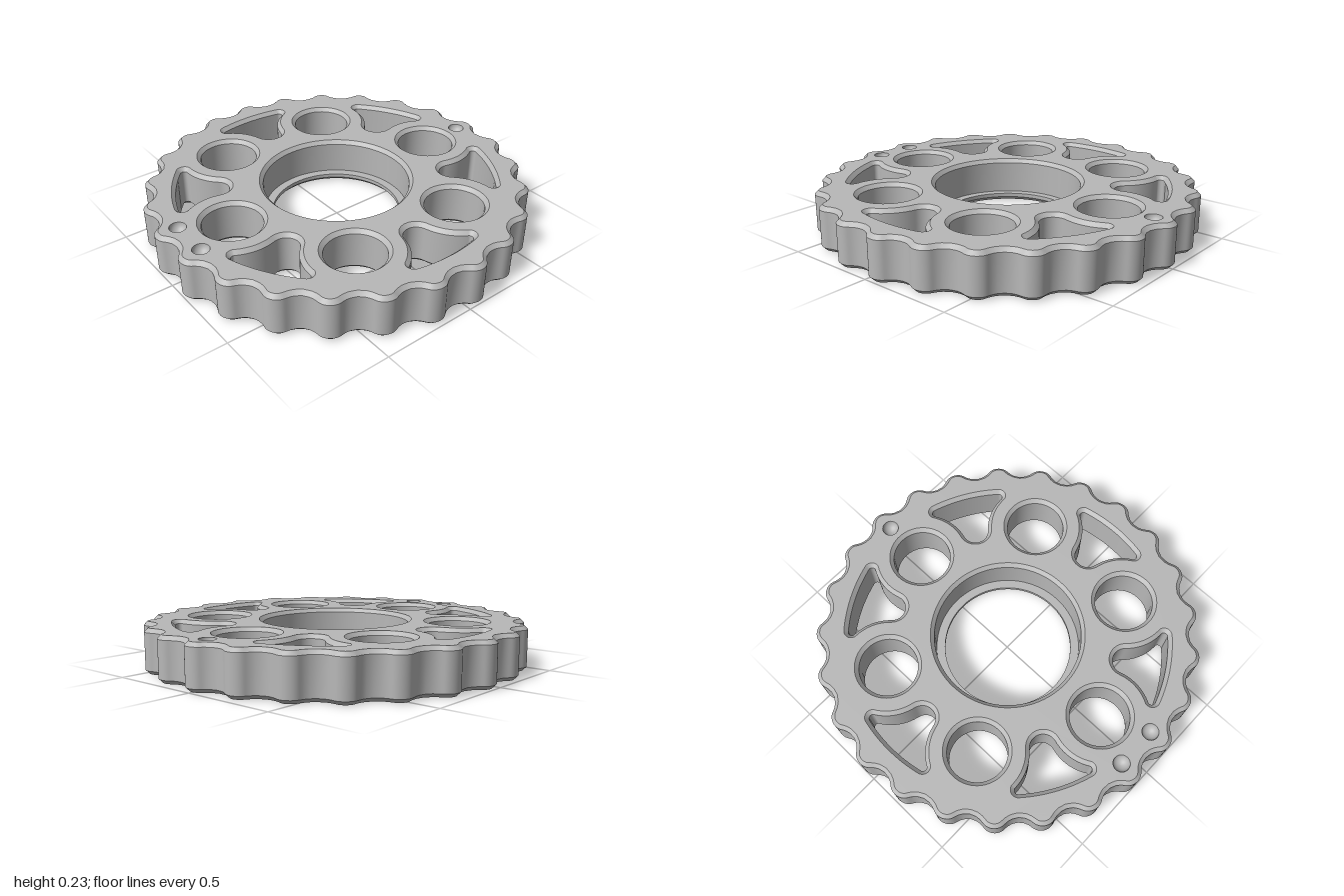
import * as THREE from 'three';
import { mergeGeometries } from 'three/addons/utils/BufferGeometryUtils.js';

// The disc is drawn in the xy plane with z as height, then laid flat.
const H = 0.23, C = 0.02, LOBES = 25;
const TAU = Math.PI * 2;
const V = (x, y) => new THREE.Vector2(x, y);

// Counter-clockwise arc or full circle
function arc(cx, cy, r, a0, a1, n, closed = false) {
  const pts = [];
  for (let i = 0; i < (closed ? n : n + 1); i++) {
    const a = a0 + (a1 - a0) * i / n;
    pts.push(V(cx + r * Math.cos(a), cy + r * Math.sin(a)));
  }
  return pts;
}
const circle = (cx, cy, r, n = 64) => arc(cx, cy, r, 0, TAU, n, true);

// Cycloidal outline: a trochoid offset inward by the roller radius plus the inset
function rimLoop(inset) {
  const e = 0.027, N = LOBES + 1, roller = 0.085, R = 1.002 - e + roller, pts = [];
  const count = LOBES * 32;
  for (let i = 0; i < count; i++) {
    const t = TAU * i / count;
    const tx = -R * Math.sin(t) + e * N * Math.sin(N * t);
    const ty = R * Math.cos(t) - e * N * Math.cos(N * t);
    const k = (roller + inset) / Math.hypot(tx, ty);
    const x = R * Math.cos(t) - e * Math.cos(N * t) - ty * k;
    const y = R * Math.sin(t) - e * Math.sin(N * t) + tx * k;
    pts.push(V(-x, -y));
  }
  return pts;
}

// Window between two round holes, from tangent arcs; symmetric about +y
const PIN_R = 0.642;
function windowLoop(inset, turn) {
  const hx = PIN_R * 0.5, hy = PIN_R * Math.cos(Math.PI / 6);
  const cornerX = 0.18, cornerY = 0.797, footY = 0.629;
  const side = 0.24 + inset, corner = 0.04 - inset, foot = 0.089 - inset;
  const outer = Math.hypot(cornerX, cornerY) + corner;
  const outerA = Math.atan2(cornerY, cornerX);
  const toCorner = Math.atan2(cornerY - hy, cornerX - hx);
  const toFoot = Math.atan2(footY - hy, -hx) + (footY < hy ? TAU : 0);
  // right half, from the foot up to the outer arc
  const half = [
    ...arc(0, footY, foot, -Math.PI / 2, toFoot - Math.PI, 12),
    ...arc(hx, hy, side, toFoot, toCorner, 16).slice(1),
    ...arc(cornerX, cornerY, corner, toCorner - Math.PI, outerA, 12).slice(1),
    ...arc(0, 0, outer, outerA, Math.PI / 2, 10).slice(1),
  ];
  const mirrored = half.slice(1, -1).reverse().map(p => V(-p.x, p.y));
  return [...half, ...mirrored].map(p => p.rotateAround(V(0, 0), turn));
}

// Smooth strip through levels [loop, height]
function strip(levels) {
  const n = levels[0][0].length, pos = [], idx = [];
  for (const [loop, z] of levels) for (const p of loop) pos.push(p.x, p.y, z);
  for (let l = 0; l < levels.length - 1; l++) {
    for (let i = 0; i < n; i++) {
      const a = l * n + i, b = l * n + (i + 1) % n;
      idx.push(a, b, b + n, a, b + n, a + n);
    }
  }
  const g = new THREE.BufferGeometry();
  g.setAttribute('position', new THREE.Float32BufferAttribute(pos, 3));
  g.setIndex(idx);
  g.computeVertexNormals();
  return g;
}

// Separate strips, so each level keeps a sharp edge
const sharp = levels => mergeGeometries(levels.slice(1).map((l, i) => strip([levels[i], l])));

// Chamfered through hole, from the top down
const throughHole = loopAt => sharp([[loopAt(0), H], [loopAt(C), H - C], [loopAt(C), C], [loopAt(0), 0]]);

export function createModel() {
  const group = new THREE.Group();
  const metal = new THREE.MeshStandardMaterial({ color: 0xb8b8b8 });
  metal.name = 'grey metal';
  const add = (name, g) => {
    g.rotateX(-Math.PI / 2);
    g.translate(-0.004, 0, 0);
    const m = new THREE.Mesh(g, metal);
    m.name = name;
    group.add(m);
  };

  // Lobed rim with chamfers
  add('lobedRim', sharp([[rimLoop(C), 0], [rimLoop(0), C], [rimLoop(0), H - C], [rimLoop(C), H]]));

  // Bearing seat with a lip at the bottom
  const bore = [[0.404, H], [0.385, H - C], [0.385, 0.04], [0.34, 0.04], [0.34, C], [0.36, 0]];
  add('bearingSeat', sharp(bore.map(([r, z]) => [circle(0, 0, r, 96), z])));

  // Six round holes and six windows
  const openings = [];
  for (let i = 0; i < 6; i++) {
    const a = i * Math.PI / 3;
    const round = inset => circle(PIN_R * Math.cos(a), PIN_R * Math.sin(a), 0.173 - inset);
    const win = inset => windowLoop(inset, a);
    add('roundHole', throughHole(round));
    add('window', throughHole(win));
    openings.push(round(0), win(0));
  }

  // Round dimples on both faces
  const dimpleR = 0.043;
  for (const [x, y] of [[0.887, 0], [-0.88, 0.11], [-0.88, -0.11]]) {
    const levels = [];
    for (let k = 0; k <= 8; k++) {
      const a = k / 8 * Math.PI / 2;
      levels.push([circle(x, y, Math.max(dimpleR * Math.cos(a), 0.0005), 24), dimpleR * Math.sin(a)]);
    }
    add('topDimple', strip(levels.map(([loop, d]) => [loop, H - d])));
    add('bottomDimple', strip([...levels].reverse()));
    openings.push(levels[0][0]);
  }

  // Flat faces
  const face = boreRadius => {
    const s = new THREE.Shape(rimLoop(C));
    s.holes = [circle(0, 0, boreRadius, 96), ...openings].map(l => new THREE.Path(l));
    return new THREE.ShapeGeometry(s);
  };
  add('topFace', face(0.404).translate(0, 0, H));
  // turned over; the outline is symmetric about the x axis
  add('bottomFace', face(0.36).rotateX(Math.PI));

  return group;
}
